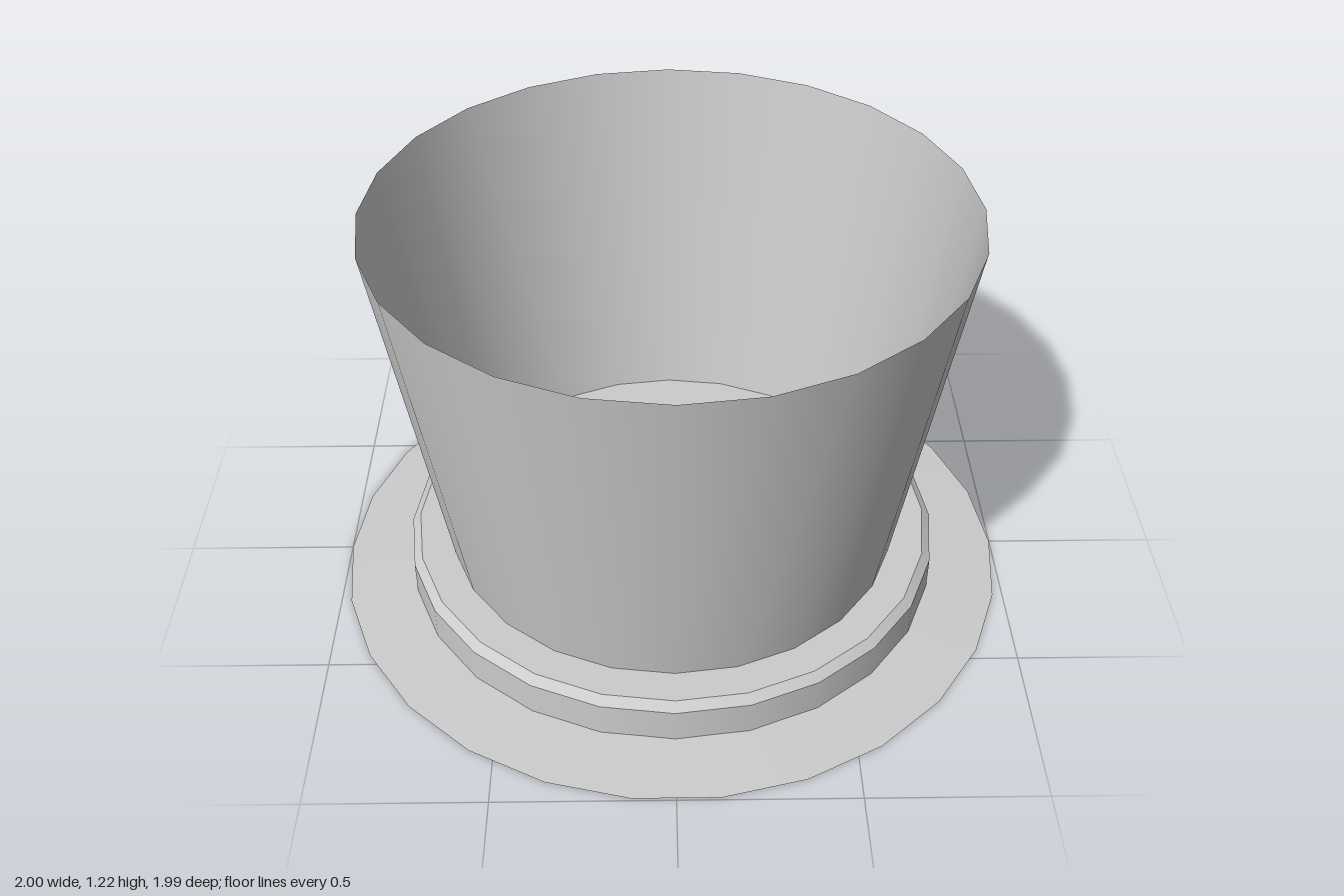
import * as THREE from 'three';

const material = new THREE.MeshStandardMaterial({ color: 0xcccccc, side: THREE.DoubleSide });

// Open conical band between two heights, with a corner on the x axis
function band(name, rBottom, rTop, yBottom, yTop, sides) {
  const geometry = new THREE.CylinderGeometry(
    rTop, rBottom, yTop - yBottom, sides, 1, true, Math.PI / 2);
  const mesh = new THREE.Mesh(geometry, material);
  mesh.name = name;
  mesh.position.y = (yBottom + yTop) / 2;
  return mesh;
}

export function createModel() {
  const model = new THREE.Group();
  model.name = 'potOnSaucer';

  // Thin, gently sloping brim around the base
  model.add(band('brim', 1, 0.767, 0, 0.014, 26));

  // Hollow raised base: wall, chamfer and flat top that also floors the pot
  const base = new THREE.Group();
  base.name = 'base';
  base.add(band('baseWall', 0.8, 0.8, 0.008, 0.115, 24));
  base.add(band('baseChamfer', 0.8, 0.775, 0.115, 0.138, 24));
  const top = new THREE.Mesh(new THREE.CircleGeometry(0.775, 24), material);
  top.name = 'baseTop';
  top.rotation.x = -Math.PI / 2;
  top.position.y = 0.138;
  base.add(top);
  model.add(base);

  // Open tapered pot wall, sunk slightly through the base top
  model.add(band('potWall', 0.667, 0.85, 0.09, 1.215, 24));

  return model;
}
